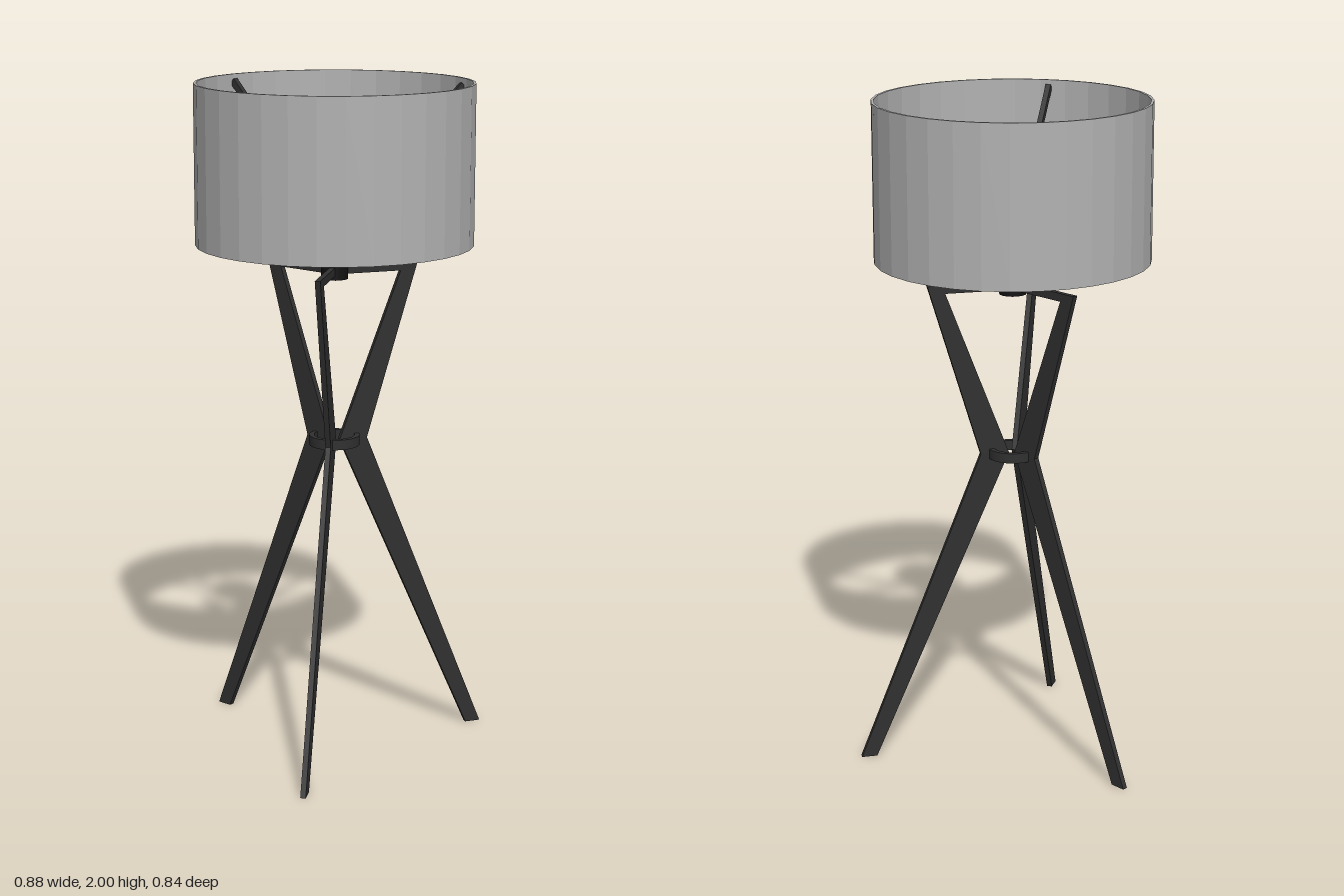
import * as THREE from 'three';
import { toCreasedNormals } from 'three/addons/utils/BufferGeometryUtils.js';

const mat = (name, color) => {
  const m = new THREE.MeshStandardMaterial({ color });
  m.name = name;
  return m;
};

export function createModel() {
  const frameMat = mat('charcoal frame', 0x303030);
  const socketMat = mat('black socket', 0x121212);
  const shadeMat = mat('grey fabric', 0xb2b2b2);
  const bulbMat = mat('white glass', 0xe6e6e6);

  const model = new THREE.Group();
  model.name = 'tripodLamp';
  const lamp = new THREE.Group();
  lamp.name = 'lamp';
  lamp.position.x = 0.032; // the tripod spreads further to one side
  model.add(lamp);

  const add = (parent, name, geometry, material) => {
    const mesh = new THREE.Mesh(geometry, material);
    mesh.name = name;
    parent.add(mesh);
    return mesh;
  };

  // Hollow band with a rectangular section
  const band = (inner, outer, y0, y1, sides, crease) => {
    const pts = [[inner, y0], [outer, y0], [outer, y1], [inner, y1], [inner, y0]]
      .map(([r, y]) => new THREE.Vector2(r, y));
    return toCreasedNormals(new THREE.LatheGeometry(pts, sides), crease);
  };

  // Flat bent leg with its top arm, as one outline (radius, height)
  const depth = 0.016;
  const legShape = new THREE.Shape([
    [0.03, 1.443], [0.204, 1.443], [0.014, 0.945], [0.432, 0],
    [0.479, 0], [0.1, 0.945], [0.257, 1.467], [0.03, 1.467],
  ].map(([r, y]) => new THREE.Vector2(r, y)));
  const legGeo = new THREE.ExtrudeGeometry(legShape, { depth, bevelEnabled: false });
  legGeo.translate(0, 0, -depth / 2);

  // Square bar between two (radius, height) points
  const bar = (parent, name, [r0, y0], [r1, y1]) => {
    const length = Math.hypot(r1 - r0, y1 - y0);
    const mesh = add(parent, name, new THREE.BoxGeometry(length, 0.02, depth), frameMat);
    mesh.position.set((r0 + r1) / 2, (y0 + y1) / 2, 0);
    mesh.rotation.z = Math.atan2(y1 - y0, r1 - r0);
  };

  // Three legs, each with a forked shade support above it
  [Math.PI, Math.PI / 3, -Math.PI / 3].forEach((angle, i) => {
    const arm = new THREE.Group();
    arm.name = `legAndSupport${i + 1}`;
    arm.rotation.y = angle;
    add(arm, 'leg', legGeo, frameMat);
    bar(arm, 'upperShadeSupport', [0.025, 1.6], [0.397, 1.98]);
    bar(arm, 'lowerShadeSupport', [0.085, 1.66], [0.398, 1.585]);
    lamp.add(arm);
  });

  // Ring tying the legs together at the waist
  add(lamp, 'waistRing', band(0.06, 0.075, 0.93, 0.96, 32, 0.6), frameMat);

  // Socket, bulb and open drum shade
  const socket = add(lamp, 'socket', new THREE.CylinderGeometry(0.04, 0.04, 0.26, 16), socketMat);
  socket.position.y = 1.56;
  const bulb = add(lamp, 'bulb', new THREE.SphereGeometry(0.097, 16, 12), bulbMat);
  bulb.position.y = 1.78;
  add(lamp, 'shade', band(0.398, 0.406, 1.533, 2, 32, 0.1), shadeMat);

  return model;
}
